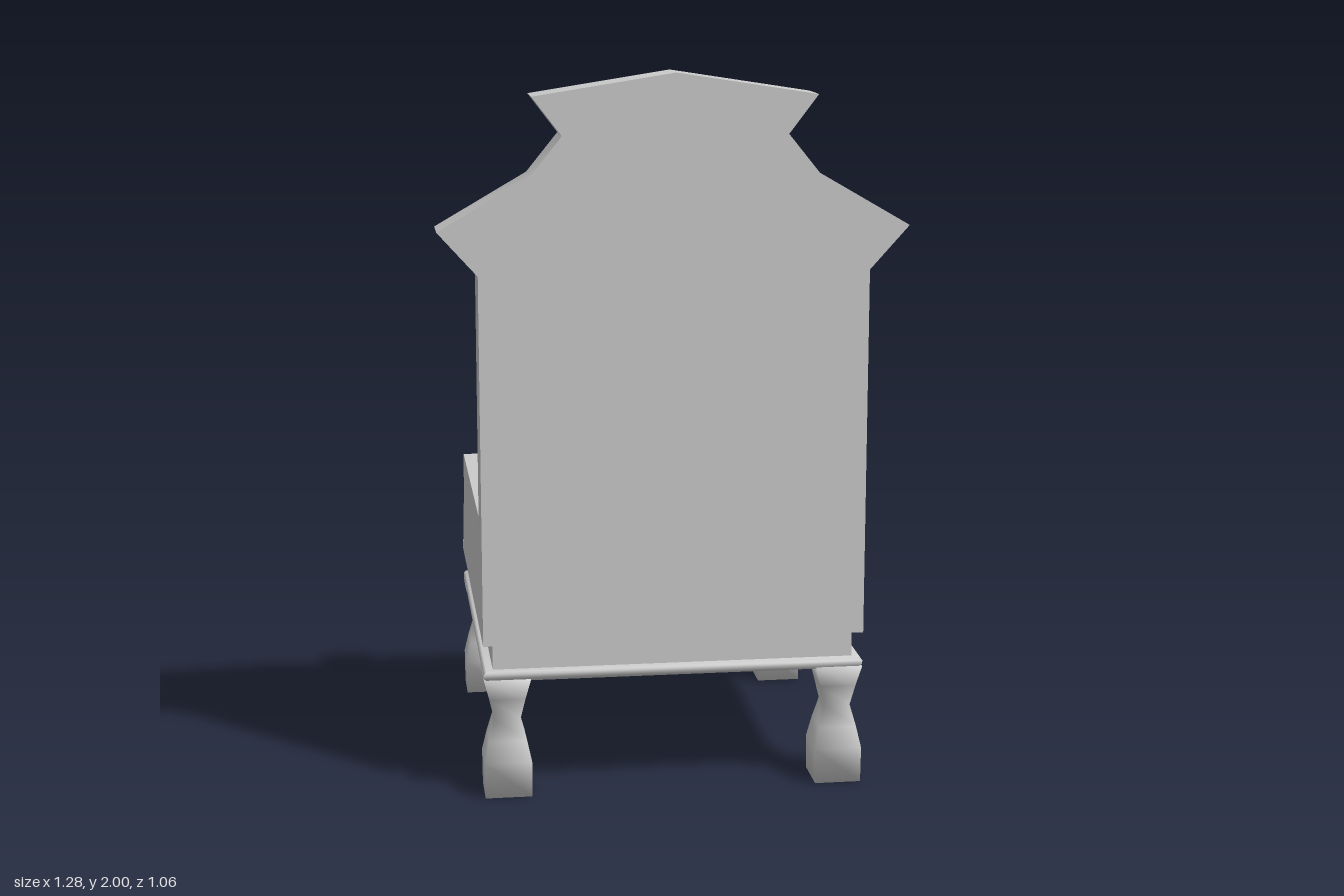
import * as THREE from 'three';
import { toCreasedNormals } from 'three/addons/utils/BufferGeometryUtils.js';

export function createModel() {
  const chair = new THREE.Group();
  chair.name = 'armchair';
  const material = new THREE.MeshStandardMaterial({ color: 0xcccccc });

  function add(name, geometry, x = 0, y = 0, z = 0) {
    const mesh = new THREE.Mesh(geometry, material);
    mesh.name = name;
    mesh.position.set(x, y, z);
    chair.add(mesh);
    return mesh;
  }

  function extrude(points, depth) {
    const shape = new THREE.Shape(points.map(([x, y]) => new THREE.Vector2(x, y)));
    const g = new THREE.ExtrudeGeometry(shape, { depth, bevelEnabled: false });
    return toCreasedNormals(g, 0.9);
  }

  // Square-sectioned solid from [half width, y] pairs, closed at both ends
  function squareLoft(profile) {
    const pts = profile.map(([w, y]) => new THREE.Vector2(w * Math.SQRT2, y));
    pts.unshift(new THREE.Vector2(0, profile[0][1]));
    pts.push(new THREE.Vector2(0, profile[profile.length - 1][1]));
    return new THREE.LatheGeometry(pts, 4, Math.PI / 4);
  }

  // Upholstery pad: 5 x 5 grid facing +z; rows run from high y to low y
  function pad(xs, ys, heights) {
    const g = new THREE.PlaneGeometry(1, 1, 4, 4);
    const p = g.attributes.position;
    for (let j = 0; j < 5; j++)
      for (let i = 0; i < 5; i++) p.setXYZ(j * 5 + i, xs[i], ys[j], heights[j][i]);
    g.computeVertexNormals();
    return g;
  }

  // Four baluster legs
  const leg = squareLoft([[0.065, 0], [0.066, 0.1], [0.053, 0.16], [0.037, 0.22], [0.05, 0.28], [0.065, 0.34]]);
  for (const x of [-1, 1])
    for (const z of [-1, 1]) add('leg', leg, x * 0.466, 0, z * 0.466);

  // Stacked base: moulded rail, recessed frame, seat board
  add('lowerRail', toCreasedNormals(squareLoft([[0.52, 0.335], [0.531, 0.347], [0.531, 0.358], [0.525, 0.365]]), 1));
  add('seatFrame', new THREE.BoxGeometry(1.01, 0.075, 1.01), 0, 0.4025, 0);
  add('seatBoard', new THREE.BoxGeometry(1.064, 0.026, 1.064), 0, 0.453, 0);

  // Backrest panel with stepped crest
  const half = [[0.532, 0.44], [0.532, 1.465], [0.64, 1.585], [0.39, 1.73], [0.305, 1.835], [0.385, 1.94]];
  const outline = [...half, [0, 2], ...half.map(([x, y]) => [-x, y]).reverse()];
  add('backrest', extrude(outline, 0.133), 0, 0, 0.399);

  // Arms with scrolled fronts
  const armProfile = [
    [-0.4, 0.46], [0.485, 0.46], [0.477, 0.5], [0.467, 0.575], [0.42, 0.625],
    [0.402, 0.675], [0.42, 0.725], [0.395, 0.775], [-0.4, 0.775],
  ];
  const arm = extrude(armProfile, 0.127).rotateY(Math.PI / 2);
  add('leftArm', arm, 0.405);
  add('rightArm', arm, -0.532);

  // Backrest cushion
  const xs = [-0.405, -0.315, 0, 0.315, 0.405];
  const edge = [0, 0, 0, 0, 0];
  const ring = [0, 0.068, 0.068, 0.068, 0];
  const back = pad(xs, [1.465, 1.39, 1.12, 0.85, 0.775], [edge, ring, [0, 0.068, 0.095, 0.068, 0], ring, edge]);
  add('backCushion', back.rotateY(Math.PI), 0, 0, 0.399);

  // Domed seat cushion, highest towards the back
  const seat = pad(xs, [0.525, 0.4, 0.03, -0.29, -0.399], [
    edge,
    [0, 0.02, 0.035, 0.02, 0],
    [0, 0.072, 0.09, 0.072, 0],
    [0, 0.035, 0.088, 0.035, 0],
    edge,
  ]);
  add('seatCushion', seat.rotateX(-Math.PI / 2), 0, 0.467, 0);

  return chair;
}
